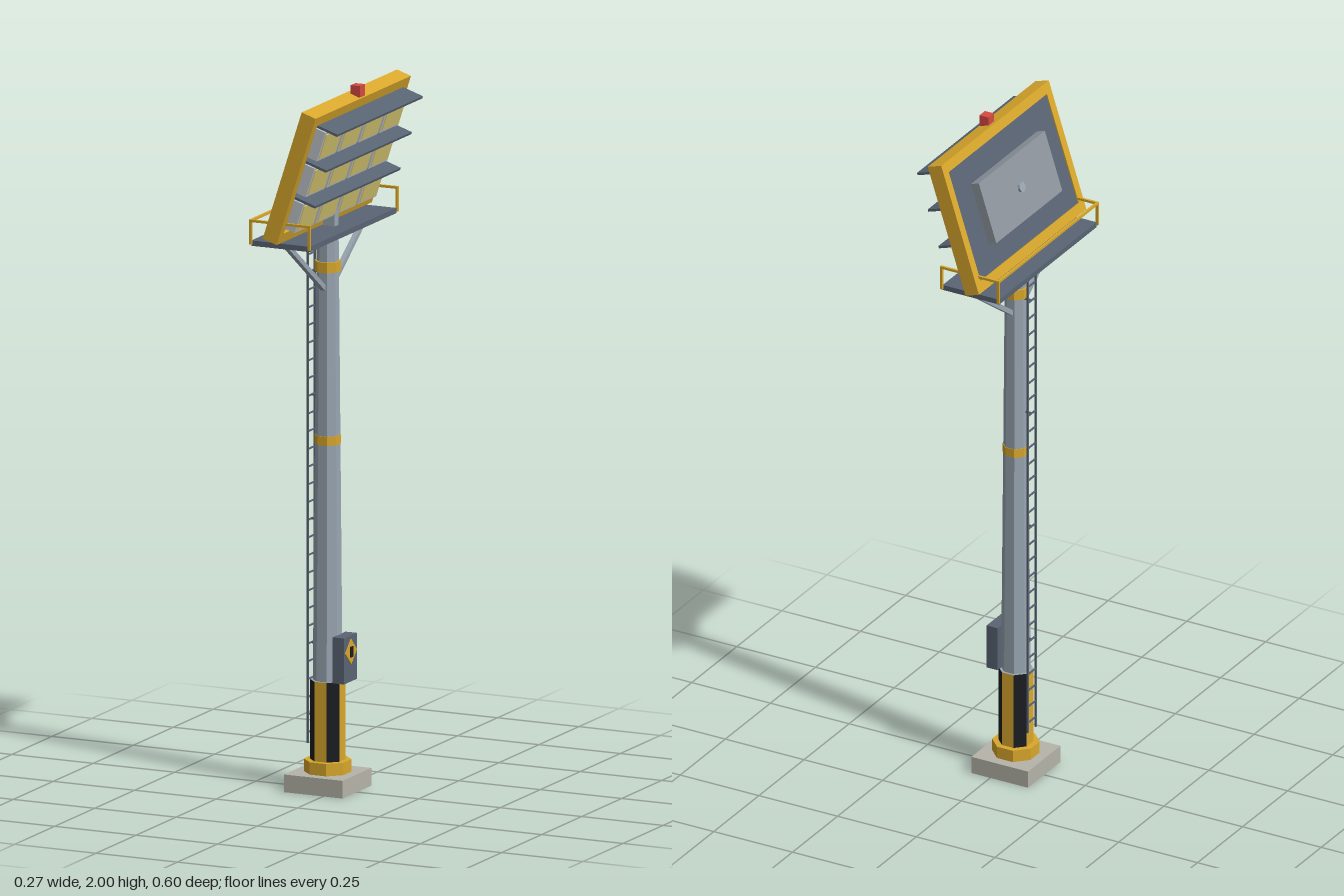
import * as THREE from 'three';

const mat = (name, color) => new THREE.MeshStandardMaterial({ name, color });

export function createModel() {
  const yellow = mat('safety yellow', 0xd9a82c);
  const black = mat('stripe black', 0x1c1d22);
  const steel = mat('galvanised steel', 0x9aa6b2);
  const slate = mat('dark slate', 0x596473);
  const concrete = mat('concrete', 0xb6b4a9);
  const lampGrey = mat('lamp casing', 0xc2c7cc);
  const lensMat = mat('lamp lens', 0xe0cf78);
  const housing = mat('housing grey', 0x8e959d);
  const red = mat('beacon red', 0xd64a42);

  const model = new THREE.Group();
  model.name = 'floodlightMast';
  const PX = -0.03; // mast axis

  const add = (parent, name, geo, material, x = 0, y = 0, z = 0) => {
    const m = new THREE.Mesh(geo, material);
    m.name = name;
    m.position.set(x, y, z);
    parent.add(m);
    return m;
  };
  const box = (parent, name, material, w, h, d, x, y, z) =>
    add(parent, name, new THREE.BoxGeometry(w, h, d), material, x, y, z);
  const flat = (geo) => {
    const g = geo.toNonIndexed();
    g.computeVertexNormals();
    return g;
  };
  // Octagonal prism sized by its flat-to-centre distance, flats facing the axes
  const octagon = (top, bottom, h) => {
    const k = 1 / Math.cos(Math.PI / 8);
    return flat(new THREE.CylinderGeometry(top * k, bottom * k, h, 8, 1, false, Math.PI / 8));
  };
  // Square bar between two points
  const bar = (parent, name, material, a, b, t) => {
    const from = new THREE.Vector3(...a), to = new THREE.Vector3(...b);
    const m = box(parent, name, material, t, t, from.distanceTo(to), 0, 0, 0);
    m.position.copy(from).add(to).multiplyScalar(0.5);
    m.lookAt(to);
    return m;
  };

  // Foundation and flange
  box(model, 'foundation', concrete, 0.18, 0.05, 0.18, PX, 0.025, 0);
  add(model, 'baseFlange', octagon(0.061, 0.061, 0.035), yellow, PX, 0.0675, 0);

  // Striped sleeve: one strip per octagon side
  const sleeve = new THREE.Group();
  sleeve.name = 'stripedSleeve';
  model.add(sleeve);
  const r = 0.045 / Math.cos(Math.PI / 8);
  for (let i = 0; i < 8; i++) {
    const side = new THREE.CylinderGeometry(r, r, 0.225, 1, 1, true, i * Math.PI / 4 - Math.PI / 8, Math.PI / 4);
    add(sleeve, 'sleeveStripe', flat(side), i % 2 ? black : yellow, PX, 0.1975, 0);
  }
  add(sleeve, 'sleeveCap', octagon(0.0449, 0.0449, 0.004), steel, PX, 0.308, 0);

  // Tapered mast and marker bands
  add(model, 'mast', octagon(0.028, 0.038, 1.275), steel, PX, 0.9425, 0);
  add(model, 'middleBand', octagon(0.034, 0.034, 0.026), yellow, PX, 0.99, 0);
  add(model, 'upperBand', octagon(0.034, 0.034, 0.03), yellow, PX, 1.48, 0);

  // Control cabinet with warning diamond
  box(model, 'controlCabinet', slate, 0.035, 0.13, 0.08, 0.0225, 0.375, 0);
  box(model, 'warningDiamond', yellow, 0.004, 0.05, 0.05, 0.041, 0.395, 0).rotation.x = Math.PI / 4;
  box(model, 'warningMark', black, 0.004, 0.03, 0.018, 0.043, 0.395, 0);

  // Ladder on the back of the mast
  const ladder = new THREE.Group();
  ladder.name = 'ladder';
  model.add(ladder);
  const LX = -0.08;
  for (const s of [-1, 1]) box(ladder, 'ladderRail', slate, 0.005, 1.45, 0.005, LX, 0.855, s * 0.022);
  for (let y = 0.16; y < 1.57; y += 0.05) box(ladder, 'ladderRung', slate, 0.004, 0.004, 0.044, LX, y, 0);
  for (let y = 0.41; y < 1.5; y += 0.35) box(ladder, 'ladderBracket', slate, 0.025, 0.005, 0.005, LX + 0.0125, y, 0);

  // Platform, braces and guard rail
  box(model, 'platform', slate, 0.18, 0.015, 0.54, -0.042, 1.5875, 0);
  const rail = new THREE.Group();
  rail.name = 'guardRail';
  model.add(rail);
  for (const s of [-1, 1]) {
    bar(model, 'platformBrace', steel, [PX, 1.42, s * 0.025], [PX, 1.582, s * 0.25], 0.014);
    box(rail, 'sideRail', yellow, 0.187, 0.007, 0.007, -0.0415, 1.652, s * 0.274);
    for (const x of [-0.1315, 0.0485]) box(rail, 'railPost', yellow, 0.007, 0.07, 0.007, x, 1.62, s * 0.274);
  }
  box(rail, 'backRail', yellow, 0.007, 0.007, 0.548, -0.1315, 1.652, 0);

  // Mount between mast top and lamp head
  box(model, 'headMount', steel, 0.035, 0.07, 0.026, -0.02, 1.63, 0);

  // Lamp head, tilted to look down towards +x
  const head = new THREE.Group();
  head.name = 'lampHead';
  head.position.set(-0.002, 1.788, 0);
  head.rotation.z = -THREE.MathUtils.degToRad(18);
  model.add(head);

  const frame = new THREE.Shape();
  frame.moveTo(-0.298, -0.194).lineTo(0.298, -0.194).lineTo(0.298, 0.194).lineTo(-0.298, 0.194).closePath();
  const hole = new THREE.Path();
  hole.moveTo(-0.272, -0.164).lineTo(-0.272, 0.164).lineTo(0.272, 0.164).lineTo(0.272, -0.164).closePath();
  frame.holes.push(hole);
  const frameGeo = new THREE.ExtrudeGeometry(frame, { depth: 0.045, bevelEnabled: false });
  frameGeo.translate(0, 0, -0.0225).rotateY(Math.PI / 2);
  add(head, 'headFrame', frameGeo, yellow);
  box(head, 'backPanel', slate, 0.03, 0.33, 0.545, -0.004, 0, 0);

  // Driver housing on the back
  box(head, 'driverHousing', housing, 0.027, 0.18, 0.366, -0.0315, 0, 0);
  const knob = add(head, 'housingKnob', flat(new THREE.CylinderGeometry(0.015, 0.015, 0.008, 8)), steel, -0.048, 0, 0);
  knob.rotation.z = Math.PI / 2;

  // Three rows of four lamps, each row under a visor
  for (let row = 0; row < 3; row++) {
    const y = 0.108 - row * 0.11;
    box(head, 'visor', slate, 0.076, 0.007, 0.534, 0.048, y + 0.055, 0);
    for (let col = 0; col < 4; col++) {
      const z = (col - 1.5) * 0.131;
      box(head, 'lampCasing', lampGrey, 0.036, 0.088, 0.118, 0.028, y, z);
      box(head, 'lampLens', lensMat, 0.004, 0.074, 0.102, 0.047, y, z);
    }
  }

  // Warning beacon on top
  box(model, 'beacon', red, 0.029, 0.032, 0.03, 0.0625, 1.984, 0);

  return model;
}
